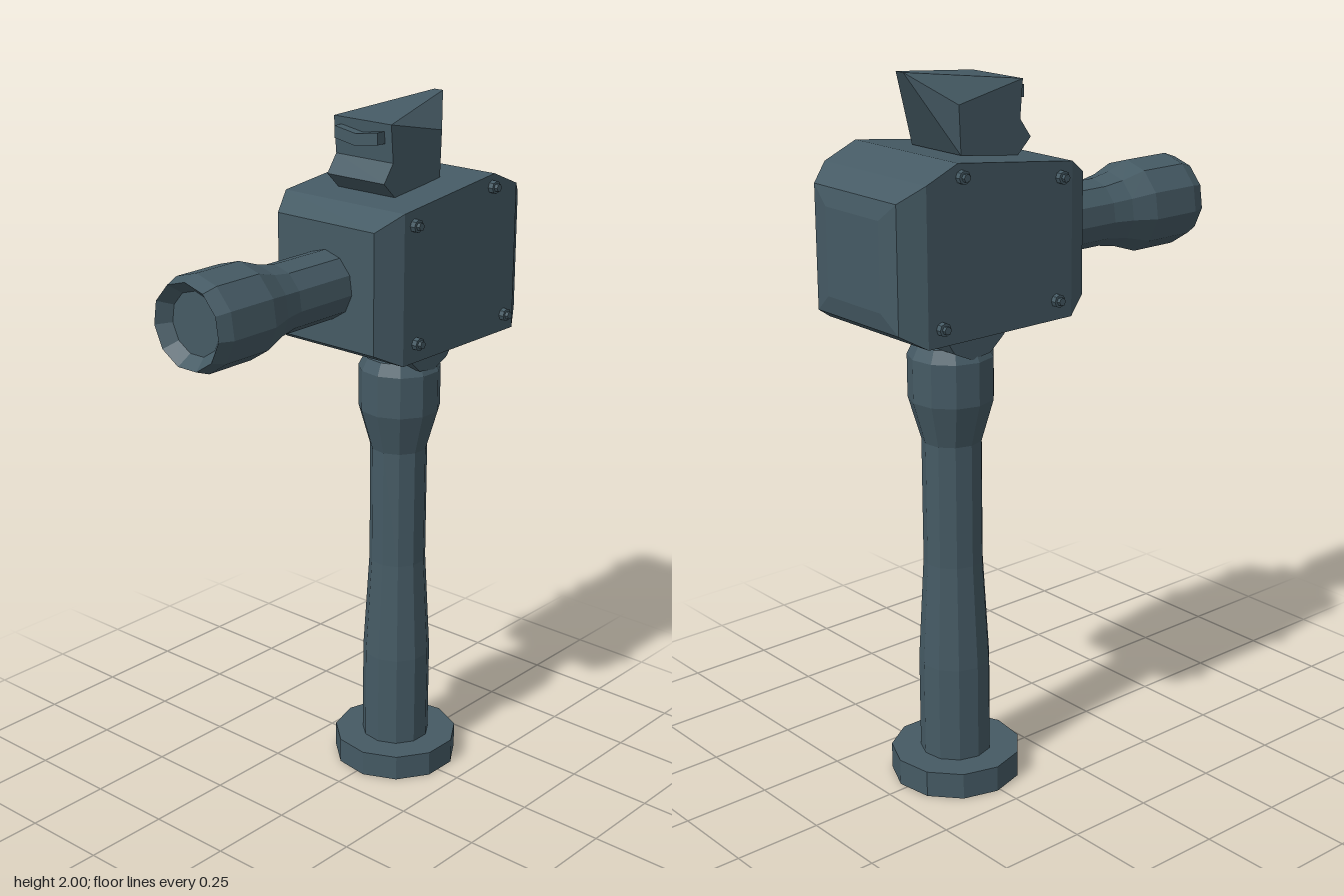
import * as THREE from 'three';
import { ConvexGeometry } from 'three/addons/geometries/ConvexGeometry.js';

const SIDES = 11;
const POST_Z = -0.26;

export function createModel() {
  const model = new THREE.Group();
  model.name = 'standMountedDevice';
  const material = new THREE.MeshStandardMaterial({ color: 0x455a64, flatShading: true });

  const add = (name, geometry, parent = model) => {
    const mesh = new THREE.Mesh(geometry, material);
    mesh.name = name;
    parent.add(mesh);
    return mesh;
  };
  // Faceted turning from [radius, height] pairs, listed from bottom to top
  const turned = (profile, start) =>
    new THREE.LatheGeometry(profile.map(([r, y]) => new THREE.Vector2(r, y)), SIDES, start);
  // Convex solid from [half width, y, z] points mirrored across x
  const mirroredHull = (points) =>
    new ConvexGeometry(points.flatMap(([x, y, z]) =>
      [new THREE.Vector3(x, y, z), new THREE.Vector3(-x, y, z)]));

  // Stand: foot disc and swelling post
  add('foot', turned([[0, 0], [0.183, 0], [0.183, 0.075], [0, 0.075]], -Math.PI / 2))
    .position.z = POST_Z;
  add('post', turned([
    [0.1, 0.06], [0.1, 0.35], [0.083, 0.65], [0.083, 1.0],
    [0.118, 1.12], [0.118, 1.24], [0.1, 1.275], [0, 1.275],
  ], -Math.PI / 2)).position.z = POST_Z;

  // Sideways drum joining the post to the housing
  const pivot = new THREE.CylinderGeometry(0.112, 0.112, 0.22, SIDES).rotateZ(Math.PI / 2);
  add('pivot', pivot).position.set(0, 1.36, -0.262);

  // Bevelled housing: rectangular sections [z, half width, bottom, top]
  const sections = [
    [0.055, 0.17, 1.38, 1.714],
    [-0.02, 0.21, 1.342, 1.757],
    [-0.4, 0.21, 1.342, 1.8],
    [-0.5, 0.21, 1.342, 1.757],
    [-0.563, 0.17, 1.38, 1.714],
    [-0.573, 0.11, 1.43, 1.665],
  ];
  add('housing', mirroredHull(sections.flatMap(([z, w, low, high]) => [[w, low, z], [w, high, z]])));

  // Barrel with a flared end and a recessed face
  const barrel = turned([
    [0.095, 0.04], [0.095, 0.25], [0.106, 0.31], [0.13, 0.38],
    [0.13, 0.53], [0.115, 0.571], [0.085, 0.535], [0, 0.535],
  ], Math.PI).rotateX(Math.PI / 2);
  add('barrel', barrel).position.y = 1.547;

  // Wedge-shaped head on top, pointed toward the back
  const head = new THREE.Group();
  head.name = 'topHead';
  model.add(head);
  add('headWedge', mirroredHull([
    [0.1, 1.963, -0.093], [0.015, 2.0, -0.413], [0.1, 1.918, -0.305],
    [0.1, 1.86, -0.102], [0.1, 1.79, -0.3],
  ]), head);
  add('headBase', mirroredHull([
    [0.1, 1.86, -0.102], [0.1, 1.81, -0.066], [0.1, 1.765, -0.112], [0.1, 1.79, -0.3],
  ]), head);
  // Front strip, sagging at its middle
  const strip = new THREE.BoxGeometry(0.15, 0.033, 0.04, 4, 1, 1);
  const p = strip.attributes.position;
  for (let i = 0; i < p.count; i++) {
    p.setY(i, p.getY(i) - 0.012 * (1 - Math.abs(p.getX(i)) / 0.075));
  }
  add('headStrip', strip, head).position.set(0, 1.926, -0.087);

  // Bolts on both sides of the housing
  for (const side of [-1, 1]) {
    for (const [y, z] of [[1.72, -0.06], [1.765, -0.39], [1.395, -0.073], [1.39, -0.457]]) {
      const bolt = new THREE.Group();
      bolt.name = 'bolt';
      bolt.position.set(side * 0.21, y, z);
      bolt.rotation.z = -side * Math.PI / 2;
      add('boltWasher', new THREE.CylinderGeometry(0.018, 0.018, 0.03, 8), bolt);
      add('boltHead', new THREE.CylinderGeometry(0.011, 0.011, 0.014, 6), bolt).position.y = 0.018;
      model.add(bolt);
    }
  }
  return model;
}
